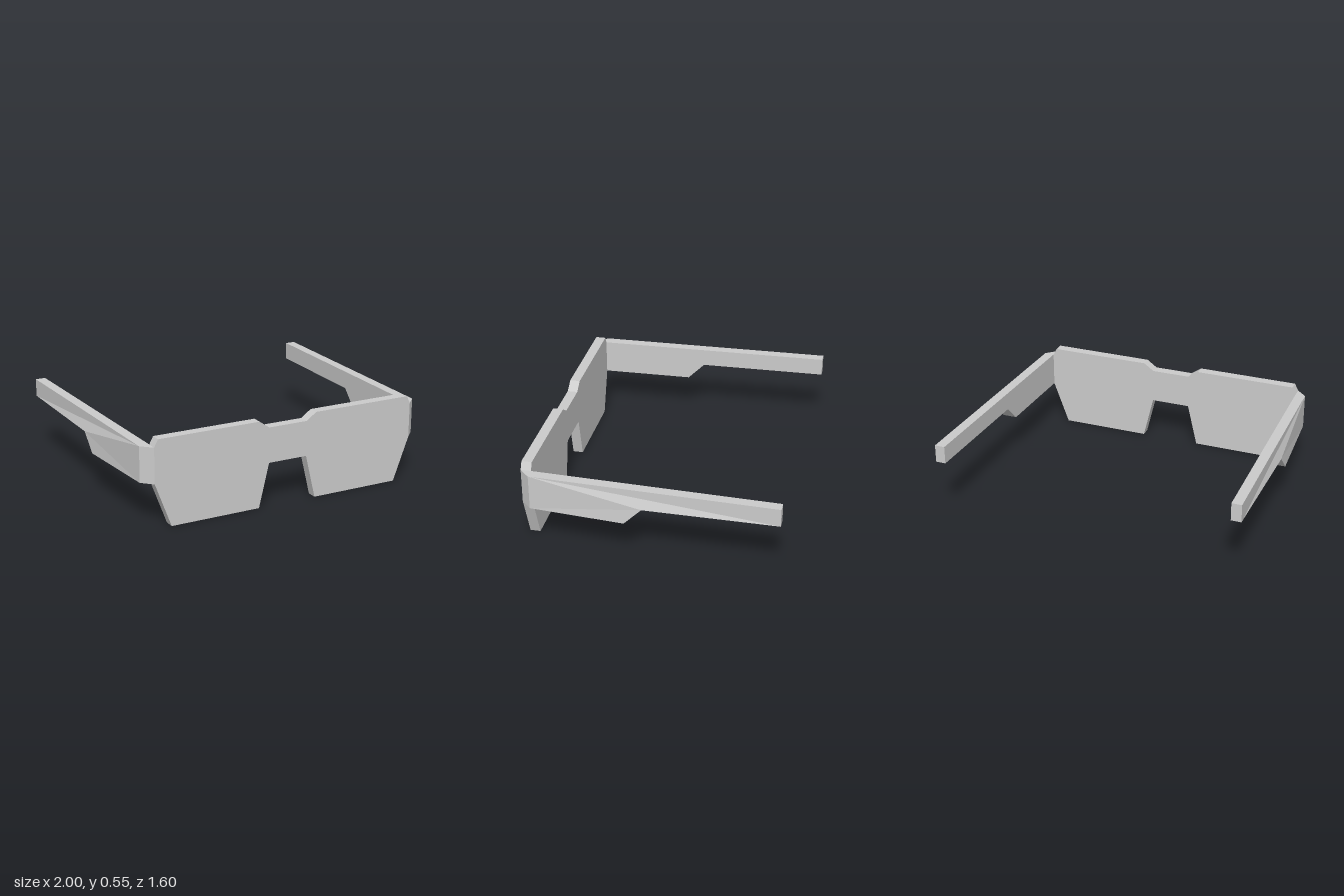
import * as THREE from 'three';

const material = new THREE.MeshStandardMaterial({ color: 0xcccccc, flatShading: true });
const BACK = 0.735, FRONT = 0.8, LOW = 0.28, HIGH = 0.505;

function part(name, geometry) {
  const mesh = new THREE.Mesh(geometry, material);
  mesh.name = name;
  return mesh;
}

function extrude(points, depth) {
  const shape = new THREE.Shape(points.map(([x, y]) => new THREE.Vector2(x, y)));
  return new THREE.ExtrudeGeometry(shape, { depth, bevelEnabled: false });
}

// Flat one-piece front: half the outline, mirrored across x = 0
function frontFrame() {
  const half = [
    [0.13, LOW], [0.197, 0], [0.785, 0], [0.89, LOW],
    [0.89, HIGH], [0.865, 0.552], [0.197, 0.552], [0.13, HIGH],
  ];
  const mirrored = half.map(([x, y]) => [-x, y]).reverse();
  return extrude([...half, ...mirrored], FRONT - BACK).translate(0, 0, BACK);
}

// Wedge joining the front to a temple; plan outline extruded upwards
function hinge(side) {
  const plan = [[0.89 * side, -FRONT], [0.955 * side, -BACK], [0.89 * side, -BACK]];
  return extrude(plan, HIGH - LOW).rotateX(-Math.PI / 2).translate(0, LOW, 0);
}

// Stepped arm: outer and inner outlines joined by a rim
function temple(side) {
  // outer x, y, z around the side profile
  const outer = [
    [0.955, HIGH, BACK], [1, HIGH, -0.8], [1, 0.39, -0.8],
    [1, 0.39, 0.03], [1, LOW, 0.14], [0.955, LOW, BACK],
  ];
  const innerX = (z) => 0.89 + 0.045 * (BACK - z) / (BACK + 0.8);
  const inner = outer.map(([, y, z]) => [innerX(z), y, z]);
  const n = outer.length;
  const faces = [];
  for (const [a, b, c] of [[0, 2, 1], [0, 3, 2], [0, 5, 3], [5, 4, 3]]) {
    faces.push([a, b, c], [n + a, n + c, n + b]);
  }
  for (let i = 0; i < n; i++) {
    const j = (i + 1) % n;
    faces.push([i, j, n + j], [i, n + j, n + i]);
  }
  const index = faces.flatMap(([a, b, c]) => (side > 0 ? [a, b, c] : [a, c, b]));
  const positions = [...outer, ...inner].flatMap(([x, y, z]) => [x * side, y, z]);
  const indexed = new THREE.BufferGeometry();
  indexed.setAttribute('position', new THREE.Float32BufferAttribute(positions, 3));
  indexed.setIndex(index);
  const geometry = indexed.toNonIndexed();
  geometry.computeVertexNormals();
  return geometry;
}

export function createModel() {
  const model = new THREE.Group();
  model.name = 'glasses';
  model.add(part('frontFrame', frontFrame()));
  for (const [label, side] of [['left', 1], ['right', -1]]) {
    model.add(part(label + 'Hinge', hinge(side)), part(label + 'Temple', temple(side)));
  }
  return model;
}
